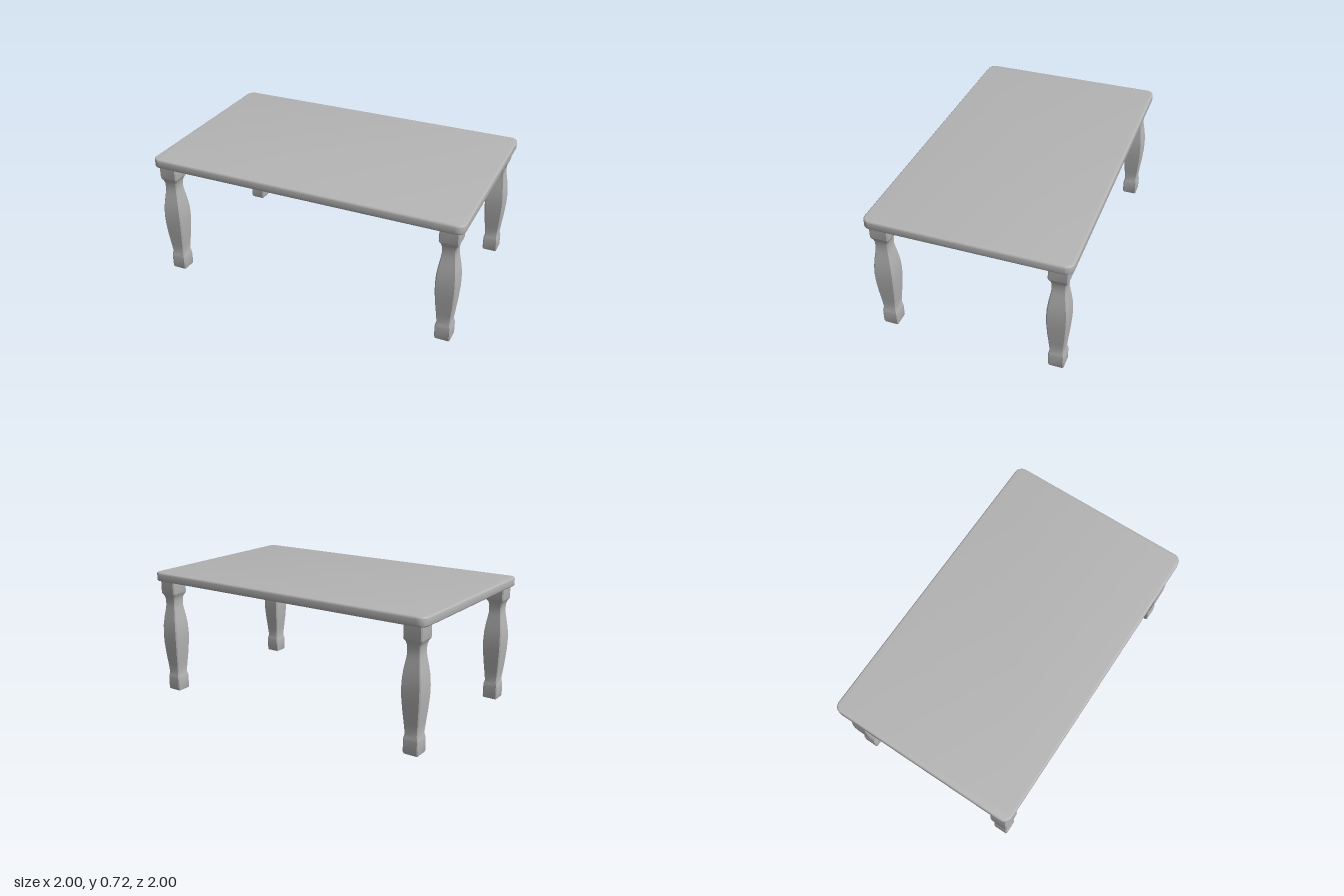
import * as THREE from 'three';
import { toCreasedNormals } from 'three/addons/utils/BufferGeometryUtils.js';

const grey = new THREE.MeshStandardMaterial({ color: 0xb4b4b4 });
grey.name = 'plain grey';

// Leg profile from floor to tabletop: [height, half width]
const profile = [
  [0, 0.04], [0.008, 0.043], [0.075, 0.043], [0.085, 0.042], [0.105, 0.037],
  [0.16, 0.042], [0.23, 0.049], [0.3, 0.054], [0.35, 0.055], [0.4, 0.053],
  [0.45, 0.047], [0.5, 0.039], [0.525, 0.036], [0.56, 0.037], [0.58, 0.042],
  [0.592, 0.05], [0.6, 0.052], [0.68, 0.052],
];

// Square turned leg with slightly chamfered corners, lofted through the profile
function legGeometry() {
  const ring = [[1, -0.88], [1, 0.88], [0.88, 1], [-0.88, 1], [-1, 0.88], [-1, -0.88], [-0.88, -1], [0.88, -1]];
  const n = ring.length, pos = [], idx = [];
  for (const [y, a] of profile) for (const [x, z] of ring) pos.push(x * a, y, z * a);
  for (let i = 0; i < profile.length - 1; i++) {
    for (let j = 0; j < n; j++) {
      const a = i * n + j, b = i * n + (j + 1) % n;
      idx.push(a, a + n, b, b, a + n, b + n);
    }
  }
  // End caps
  const top = (profile.length - 1) * n;
  for (let j = 1; j < n - 1; j++) idx.push(0, j, j + 1, top, top + j + 1, top + j);
  const g = new THREE.BufferGeometry();
  g.setAttribute('position', new THREE.Float32BufferAttribute(pos, 3));
  g.setIndex(idx);
  return toCreasedNormals(g, 0.6);
}

// Rounded rectangle board lying flat, with a softened edge
function topGeometry(hl, hw, r, y0, y1) {
  const bevel = 0.008, l = hl - bevel, w = hw - bevel, q = r - bevel;
  const s = new THREE.Shape();
  s.absarc(l - q, w - q, q, 0, Math.PI / 2);
  s.absarc(-l + q, w - q, q, Math.PI / 2, Math.PI);
  s.absarc(-l + q, -w + q, q, Math.PI, Math.PI * 1.5);
  s.absarc(l - q, -w + q, q, Math.PI * 1.5, Math.PI * 2);
  s.closePath();
  const g = new THREE.ExtrudeGeometry(s, {
    depth: y1 - y0 - 2 * bevel, bevelEnabled: true, bevelSize: bevel,
    bevelThickness: bevel, bevelSegments: 3, curveSegments: 6,
  });
  g.rotateX(-Math.PI / 2).translate(0, y0 + bevel, 0);
  return toCreasedNormals(g, 0.6);
}

export function createModel() {
  const table = new THREE.Group();
  table.name = 'table';

  const top = new THREE.Mesh(topGeometry(0.89, 0.548, 0.045, 0.67, 0.72), grey);
  top.name = 'tabletop';
  table.add(top);

  // Four legs near the corners
  const leg = legGeometry();
  for (const sx of [-1, 1]) {
    for (const sz of [-1, 1]) {
      const m = new THREE.Mesh(leg, grey);
      m.name = (sz > 0 ? 'front' : 'back') + (sx > 0 ? 'Left' : 'Right') + 'Leg';
      m.position.set(sx * 0.813, 0, sz * 0.472);
      table.add(m);
    }
  }

  // The table stands diagonally: its long side runs along +x +z
  table.rotation.y = -Math.PI / 4;
  const root = new THREE.Group();
  root.name = 'diagonalTable';
  root.add(table);
  return root;
}
